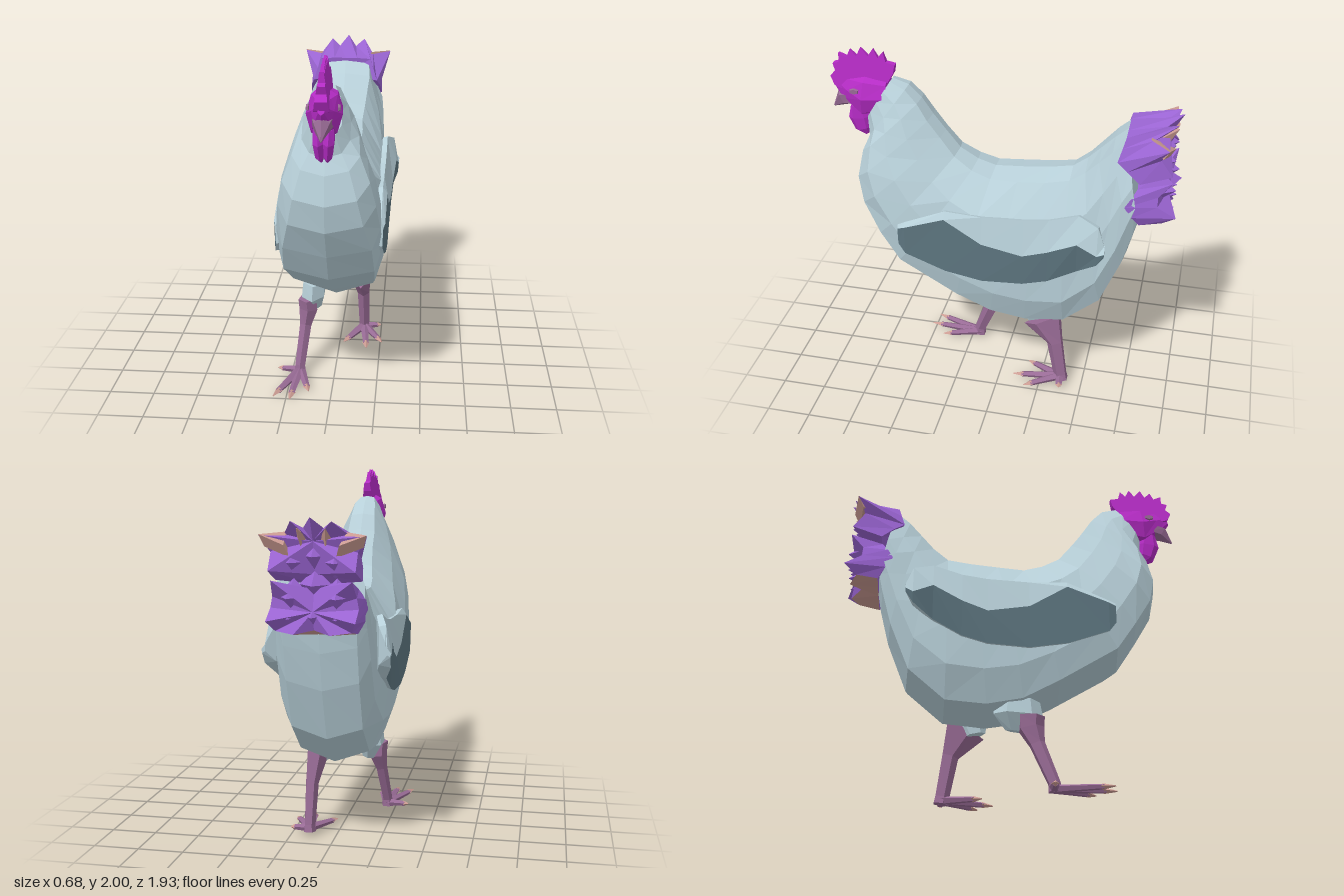
import * as THREE from 'three';

const mat = (name, color) => Object.assign(new THREE.MeshStandardMaterial({ color }), { name });
const V = (a) => new THREE.Vector3(...a);

// Faceted skin through rings of [x, y, z]; cols limits it to some columns, caps close the ends.
function loft(rings, { cols = null, caps = true } = {}) {
  const out = [], n = rings[0].length;
  const tri = (a, b, c) => out.push(...a, ...b, ...c);
  for (let i = 0; i < rings.length - 1; i++) {
    for (let j = 0; j < n; j++) {
      if (cols && !cols.includes(j)) continue;
      const k = (j + 1) % n, [r, s] = [rings[i], rings[i + 1]];
      tri(r[j], r[k], s[j]);
      tri(r[k], s[k], s[j]);
    }
  }
  if (caps) {
    [rings[0], rings.at(-1)].forEach((r, end) => {
      const c = [0, 1, 2].map((a) => r.reduce((sum, p) => sum + p[a], 0) / n);
      r.forEach((p, j) => (end ? tri(c, p, r[(j + 1) % n]) : tri(c, r[(j + 1) % n], p)));
    });
  }
  const g = new THREE.BufferGeometry();
  g.setAttribute('position', new THREE.Float32BufferAttribute(out, 3));
  g.computeVertexNormals();
  return g;
}

// Full symmetric ring from its +x half (first and last points on the middle plane).
const ring = (half) => [...half, ...half.slice(1, -1).reverse().map(([x, y, z]) => [-x, y, z])];

// Tapered limb along stations [x, y, z, half width, half depth].
function limb(stations, sides = 5) {
  const pts = stations.map((s) => V(s.slice(0, 3)));
  const whole = pts.at(-1).clone().sub(pts[0]).normalize();
  const ref = Math.abs(whole.y) > 0.8 ? V([0, 0, 1]) : V([0, 1, 0]);
  return loft(stations.map((s, i) => {
    const t = pts[Math.min(i + 1, pts.length - 1)].clone().sub(pts[Math.max(i - 1, 0)]).normalize();
    const u = ref.clone().addScaledVector(t, -ref.dot(t)).normalize();
    const v = t.clone().cross(u);
    return Array.from({ length: sides }, (_, k) => {
      const a = (k / sides) * Math.PI * 2;
      return pts[i].clone().addScaledVector(v, Math.sin(a) * s[3])
        .addScaledVector(u, Math.cos(a) * s[4]).toArray();
    });
  }));
}

// Mirror a triangle soup across x and restore its winding.
function flip(geo) {
  const g = geo.clone(), p = g.attributes.position;
  for (let i = 0; i < p.count; i += 3) {
    const t = [0, 2, 1].map((k) => new THREE.Vector3().fromBufferAttribute(geo.attributes.position, i + k));
    t.forEach((v, k) => p.setXYZ(i + k, -v.x, v.y, v.z));
  }
  g.computeVertexNormals();
  return g;
}

export function createModel() {
  const model = new THREE.Group();
  model.name = 'hen';
  const plumage = mat('plumage', 0xb8d0d9), wingDark = mat('wing patch', 0x5d757f);
  const violet = mat('tail violet', 0x9a64d2), magenta = mat('comb magenta', 0xb62cc6);
  const mauve = mat('leg mauve', 0x986b95), pink = mat('claw pink', 0xcb9b92);
  const add = (name, geo, m) => {
    const mesh = new THREE.Mesh(geo, m);
    mesh.name = name;
    model.add(mesh);
  };
  const pair = (name, geo, m) => {
    add(name + 'Left', geo, m);
    add(name + 'Right', flip(geo), m);
  };

  // Body: slices fanning from head to tail: top z, y, bottom z, y, then half widths down the slice.
  const levels = [0, 0.03, 0.25, 0.5, 0.75, 0.93, 1];
  const slices = [
    [0.62, 1.84, 0.77, 1.60, 0.04, 0.07, 0.08, 0.08, 0.05],
    [0.53, 1.81, 0.76, 1.50, 0.06, 0.10, 0.12, 0.12, 0.08],
    [0.46, 1.74, 0.80, 1.42, 0.07, 0.13, 0.16, 0.17, 0.12],
    [0.40, 1.65, 0.83, 1.27, 0.08, 0.16, 0.20, 0.22, 0.16],
    [0.33, 1.56, 0.80, 1.12, 0.08, 0.18, 0.24, 0.25, 0.19],
    [0.25, 1.46, 0.70, 0.95, 0.09, 0.20, 0.26, 0.27, 0.23],
    [0.15, 1.40, 0.59, 0.78, 0.11, 0.23, 0.27, 0.28, 0.24],
    [0.05, 1.37, 0.25, 0.57, 0.12, 0.26, 0.28, 0.275, 0.23],
    [-0.10, 1.38, 0.05, 0.46, 0.13, 0.265, 0.28, 0.27, 0.21],
    [-0.25, 1.395, -0.15, 0.42, 0.13, 0.26, 0.28, 0.265, 0.20],
    [-0.38, 1.42, -0.38, 0.44, 0.12, 0.245, 0.275, 0.265, 0.19],
    [-0.46, 1.48, -0.59, 0.62, 0.13, 0.23, 0.255, 0.25, 0.19],
    [-0.53, 1.55, -0.70, 0.90, 0.14, 0.21, 0.24, 0.245, 0.19],
    [-0.60, 1.62, -0.75, 1.10, 0.15, 0.19, 0.235, 0.235, 0.19],
    [-0.68, 1.69, -0.77, 1.21, 0.14, 0.175, 0.225, 0.23, 0.19],
  ];
  add('body', loft(slices.map(([tz, ty, bz, by, ...w]) => ring(levels.map((t, k) =>
    [[0, ...w, 0][k], ty + (by - ty) * t, tz + (bz - tz) * t])))), plumage);

  // Wings: z, top, patch top, patch bottom, outer x; the rear tip stands off the body.
  const wing = [
    [0.55, 1.08, 1.06, 0.96, 0.283], [0.51, 1.10, 1.075, 0.905, 0.292],
    [0.28, 1.20, 1.16, 0.82, 0.295], [0.07, 1.19, 1.03, 0.785, 0.297],
    [-0.16, 1.20, 0.99, 0.80, 0.303], [-0.30, 1.22, 1.04, 0.84, 0.31],
    [-0.46, 1.27, 1.12, 0.93, 0.325], [-0.57, 1.23, 1.07, 1.01, 0.337],
    [-0.61, 1.13, 1.09, 1.07, 0.34],
  ].map(([z, top, up, low, x], i) => {
    const inner = i > 7 ? 0.32 : i > 6 ? 0.27 : 0.24;
    return [[i > 6 ? x - 0.03 : 0.27, top, z], [x, up, z], [i > 6 ? x - 0.004 : Math.min(x - 0.004, 0.293), low, z],
      [inner, low + 0.01, z], [inner, top - 0.01, z]];
  });
  pair('wing', loft(wing, { cols: [0, 2, 3, 4] }), plumage);
  pair('wingPatch', loft(wing, { cols: [1], caps: false }), wingDark);

  // Face, comb (thinning upward), wattles, beak and eyes
  add('face', limb([[0, 1.74, 0.64, 0.08, 0.1], [0, 1.73, 0.78, 0.09, 0.13],
    [0, 1.765, 0.87, 0.055, 0.085], [0, 1.8, 0.935, 0.02, 0.04]], 8), magenta);
  const outline = new THREE.Shape([
    [0.88, 1.76], [0.94, 1.78], [0.965, 1.83], [0.935, 1.86], [0.95, 1.9], [0.915, 1.91],
    [0.915, 1.96], [0.87, 1.94], [0.85, 1.985], [0.815, 1.95], [0.79, 2], [0.75, 1.955],
    [0.72, 2], [0.695, 1.95], [0.665, 1.985], [0.65, 1.93], [0.6, 1.92], [0.61, 1.87],
    [0.64, 1.82], [0.75, 1.78],
  ].map((p) => new THREE.Vector2(...p)));
  const comb = new THREE.ExtrudeGeometry(outline, { depth: 0.03, bevelEnabled: false })
    .rotateY(-Math.PI / 2).translate(0.015, 0, 0);
  const cp = comb.attributes.position;
  for (let i = 0; i < cp.count; i++) cp.setX(i, cp.getX(i) * (2.03 - cp.getY(i)) * 10);
  comb.computeVertexNormals();
  add('comb', comb, magenta);
  pair('wattle', limb([[0.03, 1.67, 0.82, 0.025, 0.04], [0.025, 1.6, 0.815, 0.03, 0.065],
    [0.02, 1.53, 0.8, 0.025, 0.05], [0.015, 1.495, 0.78, 0.008, 0.015]], 6), magenta);
  add('beak', limb([[0, 1.715, 0.83, 0.065, 0.05], [0, 1.70, 0.91, 0.045, 0.05],
    [0, 1.64, 0.968, 0.002, 0.004]], 6), mauve);
  pair('eye', limb([[0.07, 1.77, 0.82, 0.03, 0.018], [0.082, 1.77, 0.82, 0.025, 0.014]], 6), mauve);

  // Tail: two flaring cups, each from a base ring on the body to a jagged rear ring
  const upperTail = [
    [[0, 1.7, -0.67], [0.07, 1.7, -0.67], [0.15, 1.695, -0.67], [0.17, 1.64, -0.655],
      [0.192, 1.57, -0.635], [0.21, 1.53, -0.69], [0.22, 1.47, -0.76], [0, 1.45, -0.76]],
    [[0, 1.79, -0.95], [0.05, 1.735, -0.87], [0.1, 1.77, -0.93], [0.16, 1.7, -0.81],
      [0.265, 1.7, -0.9], [0.215, 1.62, -0.86], [0.215, 1.53, -0.925], [0, 1.51, -0.84]],
  ].map(ring);
  const lowerTail = [
    [[0, 1.45, -0.74], [0.2, 1.43, -0.75], [0.23, 1.38, -0.72], [0.235, 1.33, -0.69],
      [0.23, 1.27, -0.73], [0.2, 1.212, -0.77], [0.1, 1.205, -0.77], [0, 1.205, -0.77]],
    [[0, 1.44, -0.86], [0.2, 1.485, -0.93], [0.21, 1.4, -0.86], [0.22, 1.345, -0.86],
      [0.22, 1.29, -0.96], [0.19, 1.235, -0.89], [0.09, 1.225, -0.93], [0, 1.24, -0.87]],
  ].map(ring);
  add('upperTail', loft(upperTail), violet);
  add('lowerTail', loft(lowerTail, { cols: [0, 1, 2, 3, 4, 9, 10, 11, 12, 13] }), violet);
  add('tailUnderside', loft(lowerTail, { cols: [5, 6, 7, 8], caps: false }), pink);

  // Broad pointed feathers filling the cups: tip x, y, z and base width
  const feather = ([x, y, z, r]) => limb([[x * 0.9, y, -0.83, r, r], [x, y, z, 0.002, 0.002]], 4);
  [[0, 1.6, -0.92, 0.08], [0, 1.46, -0.92, 0.08], [0, 1.31, -0.945, 0.07]]
    .forEach((f) => add('tailFeather', feather(f), violet));
  [[0.11, 1.57, -0.93, 0.08], [0.12, 1.4, -0.945, 0.09], [0.12, 1.3, -0.94, 0.06]]
    .forEach((f) => pair('tailFeather', feather(f), violet));
  // Pale inner faces at the upper corners, sloping down to the rear
  const corner = [[0.15, 1.712, -0.8], [0.135, 1.655, -0.925], [0.264, 1.704, -0.902]];
  pair('tailCornerFace', loft([corner, corner.map(([x, y, z]) => [x - 0.02, y - 0.06, z + 0.03])]), pink);
  pair('tailInnerFeather', limb([[0.055, 1.68, -0.85, 0.03, 0.05], [0.07, 1.735, -0.93, 0.002, 0.002]], 4), pink);

  // Legs in mid stride: right one forward, left one back
  add('rightThigh', limb([[-0.13, 0.53, 0.02, 0.07, 0.12], [-0.135, 0.45, 0.02, 0.075, 0.135],
    [-0.12, 0.365, 0.01, 0.035, 0.06]], 6), plumage);
  add('leftThigh', limb([[0.11, 0.53, -0.23, 0.06, 0.11], [0.09, 0.41, -0.2, 0.03, 0.06]], 6), plumage);
  add('rightLeg', limb([[-0.165, 0.44, 0.085, 0.055, 0.075], [-0.16, 0.37, 0.085, 0.055, 0.075],
    [-0.175, 0.28, 0.115, 0.035, 0.045], [-0.2, 0.06, 0.2, 0.03, 0.035],
    [-0.2, 0.015, 0.205, 0.035, 0.04]]), mauve);
  add('leftLeg', limb([[0.125, 0.455, -0.26, 0.062, 0.125], [0.14, 0.3, -0.335, 0.038, 0.05],
    [0.145, 0.07, -0.372, 0.032, 0.042], [0.145, 0.03, -0.378, 0.037, 0.045]]), mauve);

  // Toes with claws: start, then claw tips
  const foot = (name, [x, y, z], tips) => tips.forEach(([tx, ty, tz]) => {
    const at = (t, r) => [x + (tx - x) * t, y + (ty - y) * t, z + (tz - z) * t, r, r * 0.8];
    add(name + 'Toe', limb([at(0, 0.03), at(0.5, 0.022), at(0.82, 0.018)]), mauve);
    add(name + 'Claw', limb([at(0.78, 0.022), at(1, 0.004)], 4), pink);
  });
  foot('right', [-0.2, 0.03, 0.2], [[-0.32, 0.02, 0.5], [-0.225, 0.02, 0.525], [-0.13, 0.02, 0.43], [-0.33, 0.03, 0.19]]);
  foot('left', [0.145, 0.05, -0.37], [[0.26, 0.035, -0.17], [0.17, 0.035, -0.09], [0.03, 0.035, -0.16], [0.25, 0.05, -0.38]]);
  return model;
}
